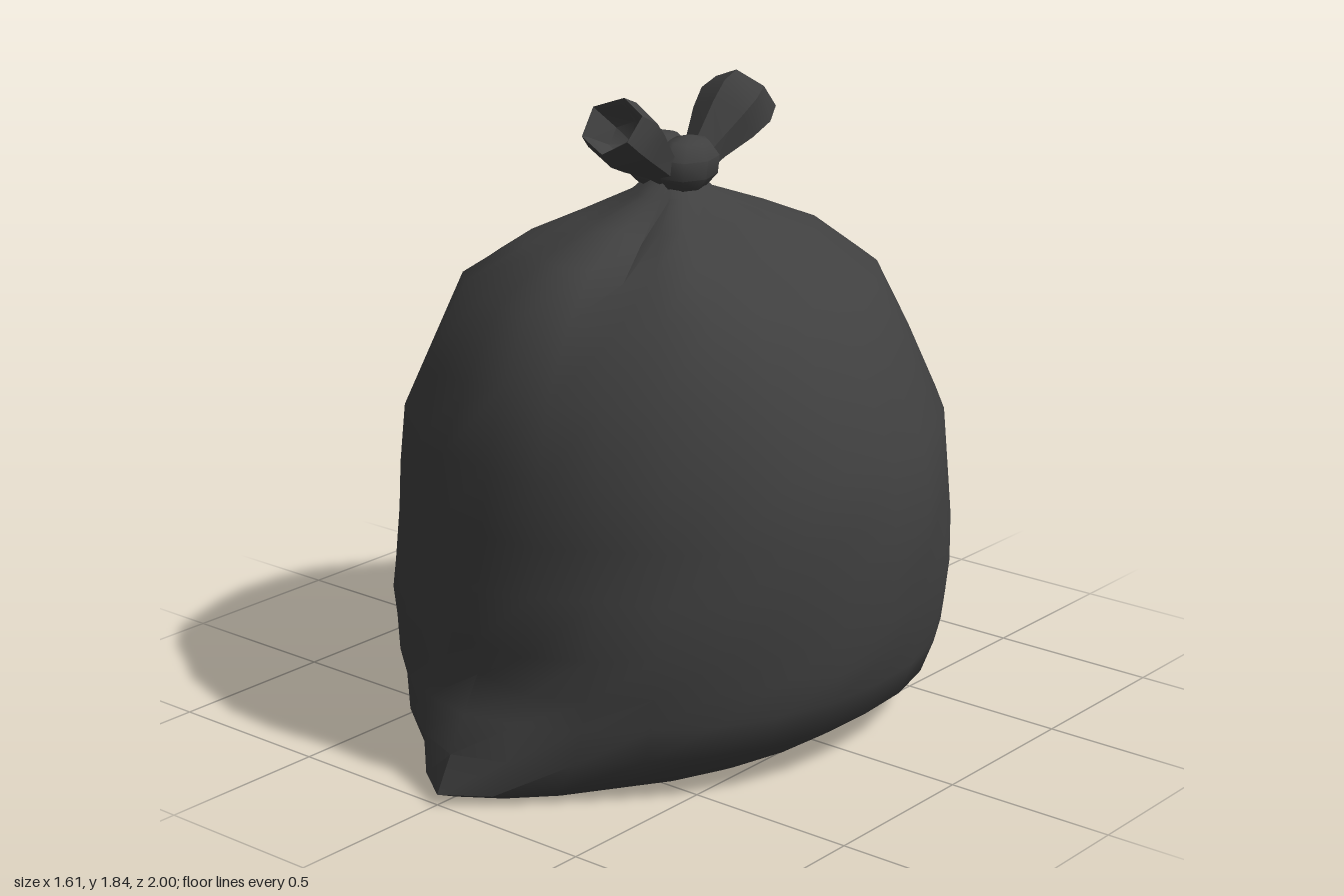
import * as THREE from 'three';
import { toCreasedNormals } from 'three/addons/utils/BufferGeometryUtils.js';

const SIDES = 28;
const EAR_SIDES = 6;

// Small repeatable noise in -1..1 for crumpled plastic
const noise = (i, j) => {
  const s = Math.sin(i * 12.9898 + j * 78.233) * 43758.5453;
  return 2 * (s - Math.floor(s)) - 1;
};

// Rings of the sack: height, half width, half depth, length of the pointed corners,
// and how far the diagonals bulge out (+) or flatten (-)
const RINGS = [
  [0, 0.5, 0.76, 0.17, 0], [0.03, 0.56, 0.8, 0.2, 0], [0.13, 0.7, 0.82, 0.125, 0.01],
  [0.23, 0.74, 0.83, 0.06, 0.015], [0.32, 0.765, 0.835, 0, 0.01], [0.43, 0.785, 0.85, 0, 0],
  [0.58, 0.8, 0.82, 0, -0.01], [0.72, 0.8, 0.81, 0, -0.015], [0.9, 0.775, 0.79, 0, -0.01],
  [1.1, 0.67, 0.72, 0, 0], [1.29, 0.565, 0.6, 0, 0.02], [1.4, 0.38, 0.46, 0, 0.01],
  [1.47, 0.23, 0.29, 0, 0], [1.53, 0.11, 0.12, 0, 0], [1.57, 0.07, 0.08, 0, 0],
];

function sackGeometry() {
  const pos = [], index = [];
  RINGS.forEach(([y, w, d, tip, bulge], i) => {
    for (let j = 0; j < SIDES; j++) {
      const a = (j / SIDES) * Math.PI * 2;
      const c = Math.cos(a), s = Math.sin(a);
      const corner = Math.max(0, 1 - Math.acos(Math.min(1, Math.abs(c))) / 0.68);
      // Crumples on the belly
      const belly = i > 3 && i < 11;
      let k = 1 + bulge * Math.abs(Math.sin(2 * a)) + (belly ? 0.01 * noise(i, j) : 0);
      let lift = belly ? 0.014 * noise(j, i + 7) : 0;
      // Gathered pleats towards the neck
      if (y > 1.25 && y < 1.55) k += 0.05 * Math.cos(a * 7 + 0.4) * Math.min(1, (y - 1.2) / 0.25);
      // Long fold running down from the knot
      if (y > 1.15 && y < 1.5 && j === 2) lift -= 0.035;
      pos.push(w * s * k, y + lift, d * c * k + Math.sign(c) * tip * corner);
    }
  });
  for (let i = 0; i < RINGS.length - 1; i++) {
    for (let j = 0; j < SIDES; j++) {
      const n = (j + 1) % SIDES;
      const a = i * SIDES + j, b = i * SIDES + n;
      index.push(a, b, b + SIDES, a, b + SIDES, a + SIDES);
    }
  }
  // Flat underside and closed neck
  const bottom = pos.length / 3, last = (RINGS.length - 1) * SIDES;
  pos.push(0, 0, 0, 0, 1.6, 0);
  for (let j = 0; j < SIDES; j++) {
    const n = (j + 1) % SIDES;
    index.push(bottom, n, j, bottom + 1, last + j, last + n);
  }
  const g = new THREE.BufferGeometry();
  g.setAttribute('position', new THREE.Float32BufferAttribute(pos, 3));
  g.setIndex(index);
  return toCreasedNormals(g, 0.75);
}

// Flared, hollow tied end; points run from the knot to the rim and back inside
function earGeometry(seed) {
  const profile = [[0.001, -0.02], [0.05, 0], [0.065, 0.06], [0.1, 0.16], [0.115, 0.22],
    [0.1, 0.275], [0.088, 0.265], [0.06, 0.2], [0.001, 0.17]];
  const g = new THREE.LatheGeometry(profile.map(([r, y]) => new THREE.Vector2(r, y)), EAR_SIDES);
  const p = g.attributes.position;
  for (let v = 0; v < p.count; v++) {
    const col = Math.floor(v / profile.length) % EAR_SIDES, row = v % profile.length;
    const k = row > 1 && row < 7 ? 1 + 0.06 * noise(col, seed) : 1;
    const dy = row > 3 && row < 7 ? 0.015 * noise(col + 3, seed) : 0;
    p.setXYZ(v, p.getX(v) * k, p.getY(v) + dy, p.getZ(v) * k * 0.88);
  }
  return toCreasedNormals(g, 0.7);
}

export function createModel() {
  const group = new THREE.Group();
  const plastic = new THREE.MeshStandardMaterial({ color: 0x404040 });
  plastic.name = 'dark plastic';

  const add = (name, geometry) => {
    const mesh = new THREE.Mesh(geometry, plastic);
    mesh.name = name;
    group.add(mesh);
    return mesh;
  };

  add('sack', sackGeometry());

  // Knot made of two pressed lobes
  for (const [name, x, tilt] of [['knotRight', -0.045, 0.12], ['knotLeft', 0.055, -0.12]]) {
    const lobe = add(name, toCreasedNormals(new THREE.SphereGeometry(1, 8, 5), 0.9));
    lobe.scale.set(0.077, 0.085, 0.115);
    lobe.position.set(x, 1.612, 0.005);
    lobe.rotation.z = tilt;
  }

  // Tied ends leaning forwards and backwards
  [['frontEar', 1], ['backEar', -1]].forEach(([name, side], i) => {
    const ear = add(name, earGeometry(i + 2));
    ear.position.set(0.027, 1.6, side * 0.065);
    ear.rotation.x = side * 0.95;
  });
  return group;
}
